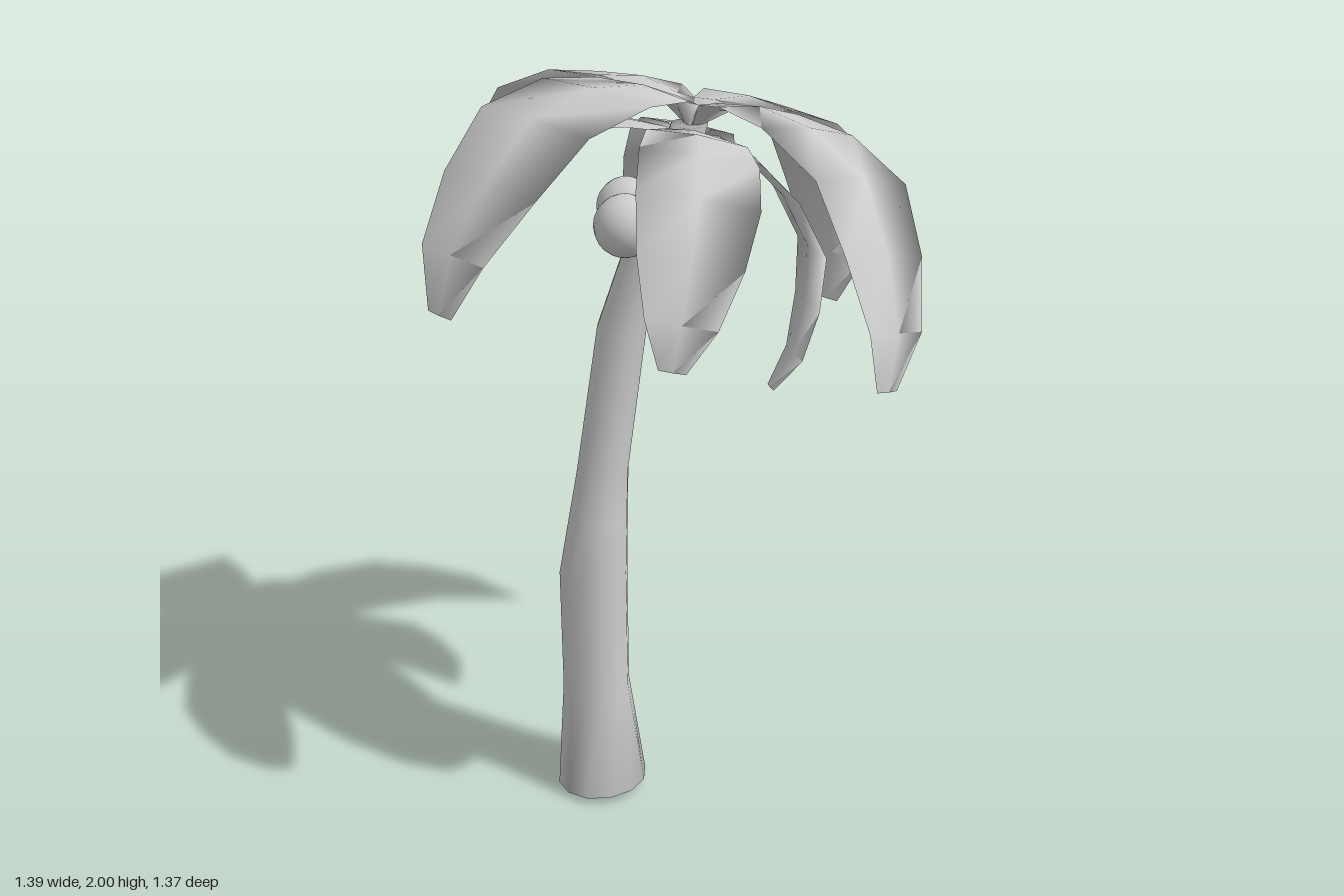
import * as THREE from 'three';

const material = new THREE.MeshStandardMaterial({ color: 0xcccccc, side: THREE.DoubleSide });

// Closed smooth skin through equal-sized rings of points, capped at both ends.
function loft(rings) {
  const n = rings[0].length, last = (rings.length - 1) * n, index = [];
  for (let i = 0; i < last; i += n) {
    for (let j = 0; j < n; j++) {
      const a = i + j, b = i + (j + 1) % n;
      index.push(a, b, b + n, a, b + n, a + n);
    }
  }
  for (let j = 1; j < n - 1; j++) {
    index.push(0, j + 1, j, last, last + j, last + j + 1);
  }
  const geometry = new THREE.BufferGeometry().setFromPoints(rings.flat());
  geometry.setIndex(index);
  geometry.computeVertexNormals();
  return geometry;
}

function addMesh(parent, name, geometry) {
  const mesh = new THREE.Mesh(geometry, material);
  mesh.name = name;
  parent.add(mesh);
  return mesh;
}

// Curved trunk: x, y, z, radius, sideways slope of each ring
function trunkGeometry() {
  const sections = [
    [-0.102, 0.02, 0.132, 0.123, 0.11], [-0.122, 0.33, 0.13, 0.091, 0],
    [-0.13, 0.68, 0.125, 0.091, 0], [-0.132, 0.84, 0.102, 0.078, 0],
    [-0.133, 0.96, 0.085, 0.068, 0], [-0.113, 1.35, 0.03, 0.064, 0],
    [-0.068, 1.6, -0.035, 0.057, 0], [-0.012, 1.86, -0.1, 0.045, 0],
  ];
  const sides = 12;
  return loft(sections.map(([x, y, z, r, slope]) =>
    Array.from({ length: sides }, (_, j) => {
      const a = (j / sides) * Math.PI * 2, dx = r * Math.sin(a);
      return new THREE.Vector3(x + dx, y + dx * slope, z + r * Math.cos(a));
    })));
}

// Drooping lens-section frond along +z: distance out, height, half width, half thickness
function frondGeometry() {
  const profile = [
    [0.01, 0, 0.012, 0.005], [0.068, 0.057, 0.068, 0.008], [0.19, 0.072, 0.145, 0.01],
    [0.34, 0.055, 0.168, 0.01], [0.51, -0.02, 0.17, 0.01], [0.61, -0.16, 0.146, 0.008],
    [0.683, -0.31, 0.1, 0.006], [0.693, -0.44, 0.038, 0.004],
  ];
  return loft(profile.map(([z, y, w, t], i) => {
    const p = profile[Math.max(i - 1, 0)], q = profile[Math.min(i + 1, profile.length - 1)];
    const len = Math.hypot(q[0] - p[0], q[1] - p[1]);
    const ny = (q[0] - p[0]) / len * t, nz = -(q[1] - p[1]) / len * t;
    return [[-1, 0], [0, -1], [1, 0], [0, 1]].map(([side, up]) =>
      new THREE.Vector3(side * w, y + up * ny, z + up * nz));
  }));
}

export function createModel() {
  const model = new THREE.Group();
  model.name = 'palmTree';
  addMesh(model, 'trunk', trunkGeometry());

  // Crown leans back with the trunk
  const crown = new THREE.Group();
  crown.name = 'crown';
  crown.position.set(-0.01, 1.855, -0.105);
  crown.rotation.set(-0.25, 0.07, 0);
  model.add(crown);

  const frond = frondGeometry();
  const addFrond = (name, yaw, pitch, scale, drop) => {
    const leaf = addMesh(crown, name, frond);
    leaf.rotation.set(
      THREE.MathUtils.degToRad(pitch), THREE.MathUtils.degToRad(yaw), 0, 'YXZ');
    leaf.scale.setScalar(scale);
    leaf.position.y = -drop;
  };
  // Four long upper fronds
  [0, 90, 180, 268].forEach(yaw => addFrond('upperFrond', yaw, 0, 1, 0));
  // Four shorter lower fronds between them, the back ones hanging more steeply
  [[47, 7, 0.81, 0.05], [-43, 7, 0.83, 0.06], [-136, 13, 0.8, 0.04], [143, 28, 0.8, 0.035]]
    .forEach(placement => addFrond('lowerFrond', ...placement));

  // Coconuts under the crown
  const nut = new THREE.SphereGeometry(0.075, 16, 12);
  [[0, 1.66, 0.115], [-0.195, 1.62, -0.06]].forEach(p =>
    addMesh(model, 'coconut', nut).position.set(...p));

  return model;
}
